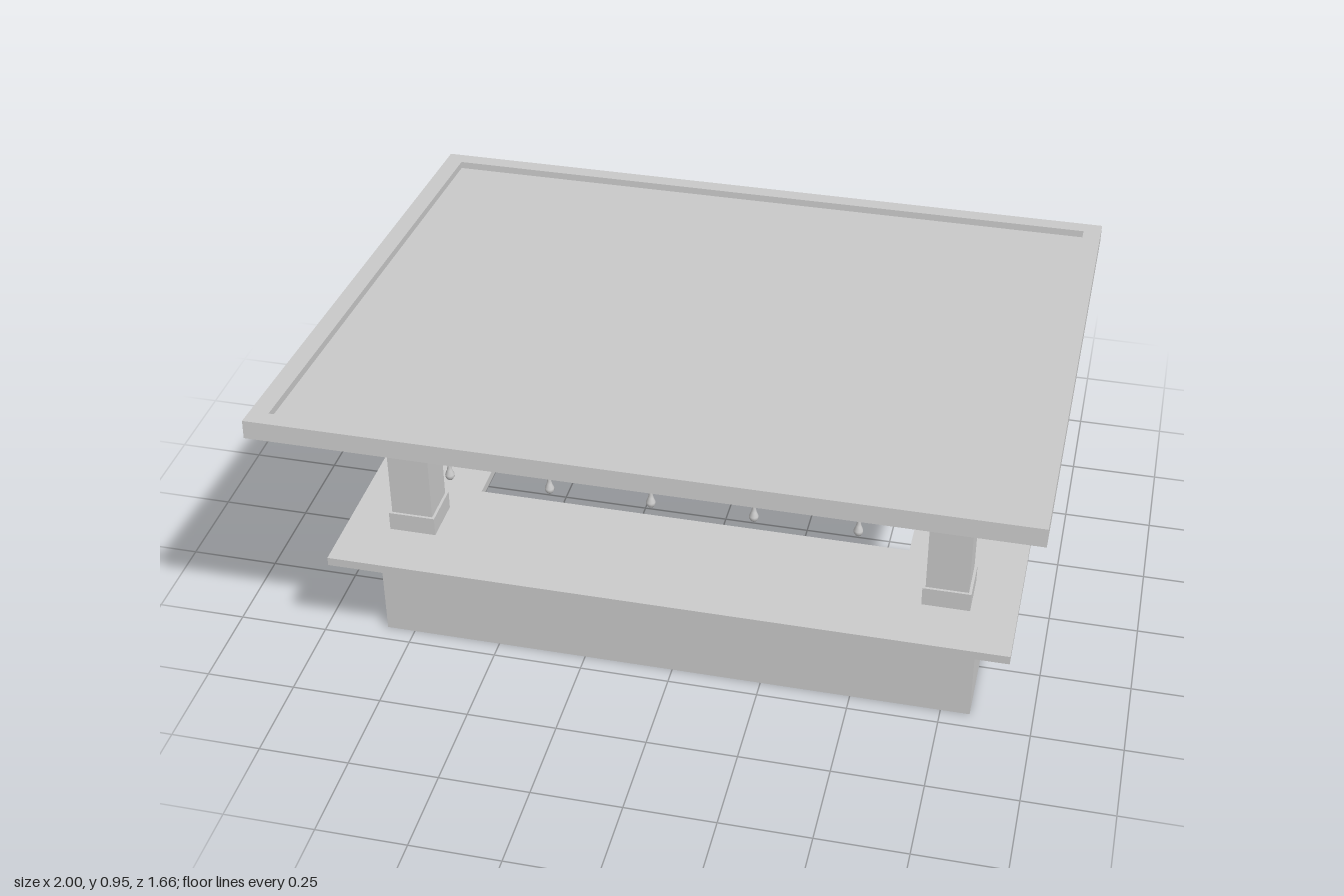
import * as THREE from 'three';

const grey = new THREE.MeshStandardMaterial({ color: 0xcccccc });

function add(parent, geometry, name, x = 0, y = 0, z = 0) {
  const mesh = new THREE.Mesh(geometry, grey);
  mesh.name = name;
  mesh.position.set(x, y, z);
  parent.add(mesh);
  return mesh;
}

// Box given by its extents on each axis
function box(parent, name, [x0, x1], [y0, y1], [z0, z1]) {
  return add(parent, new THREE.BoxGeometry(x1 - x0, y1 - y0, z1 - z0), name,
    (x0 + x1) / 2, (y0 + y1) / 2, (z0 + z1) / 2);
}

// Flat U-shaped slab: outer edge at z = front, arms reach back to z = end
function uSlab(parent, name, outerX, innerX, front, inner, end, y, height) {
  const points = [[-outerX, front], [outerX, front], [outerX, end], [innerX, end],
    [innerX, inner], [-innerX, inner], [-innerX, end], [-outerX, end]];
  const shape = new THREE.Shape(points.map(([x, z]) => new THREE.Vector2(x, -z)));
  const geometry = new THREE.ExtrudeGeometry(shape, { depth: height, bevelEnabled: false });
  geometry.rotateX(-Math.PI / 2);
  return add(parent, geometry, name, 0, y, 0);
}

// U-shaped counter, outer face at z = 0, shelves open to the inside
function counter(name, topFront, topInner) {
  const g = new THREE.Group();
  g.name = name;
  const t = 0.015;
  uSlab(g, 'counterTop', 0.93, 0.61, topFront, topInner, -0.47, 0.31, 0.025);
  uSlab(g, 'counterFloor', 0.83, 0.66, 0, -0.18, -0.42, 0, 0.02);
  uSlab(g, 'counterShelf', 0.815, 0.67, -t, -0.17, -0.405, 0.15, 0.012);
  uSlab(g, 'counterUpperRail', 0.83, 0.66, 0, -0.18, -0.42, 0.295, 0.015);
  box(g, 'outerPanel', [-0.83, 0.83], [0.02, 0.295], [-t, 0]);
  for (const s of [-1, 1]) {
    const side = box(g, 'sidePanel', [0.815, 0.83], [0.02, 0.295], [-0.42, -t]);
    side.position.x *= s;
    const end = box(g, 'armEndPanel', [0.66, 0.815], [0.02, 0.295], [-0.42, -0.405]);
    end.position.x *= s;
  }
  // Cupboard with a door in the shelf run
  for (const x of [-0.48, -0.13]) {
    box(g, 'divider', [x - 0.007, x + 0.007], [0.02, 0.295], [-0.178, -t]);
  }
  box(g, 'counterDoor', [-0.475, -0.135], [0.022, 0.293], [-0.188, -0.175]);
  handle(g, -0.17, 0.17, -0.188, -1);
  return g;
}

// Small bar handle standing off a door
function handle(parent, x, y, z, dir) {
  const bar = new THREE.CylinderGeometry(0.004, 0.004, 0.05, 8);
  add(parent, bar, 'doorHandle', x, y, z + dir * 0.012);
  for (const d of [-0.018, 0.018]) {
    const post = add(parent, new THREE.CylinderGeometry(0.003, 0.003, 0.014, 8), 'handlePost', x, y + d, z + dir * 0.006);
    post.rotation.x = Math.PI / 2;
  }
}

// Square column with plinth and cap
function pillar(name, x, z, bottom, plinthTop, capBottom, top) {
  const g = new THREE.Group();
  g.name = name;
  g.position.set(x, 0, z);
  const part = (label, w, y0, y1) => box(g, label, [-w / 2, w / 2], [y0, y1], [-w / 2, w / 2]);
  part('pillarPlinth', 0.13, bottom, plinthTop);
  part('pillarShaft', 0.115, plinthTop, capBottom);
  part('pillarCap', 0.143, capBottom, top);
  return g;
}

// Sloping roof with a raised rim around a sunken panel
function roof() {
  const g = new THREE.Group();
  g.name = 'roof';
  const rect = (P, w, d) => new P([[-w, -d], [w, -d], [w, d], [-w, d]].map(([x, y]) => new THREE.Vector2(x, y)));
  const rim = rect(THREE.Shape, 1, 0.83);
  rim.holes.push(rect(THREE.Path, 0.95, 0.78));
  const geometry = new THREE.ExtrudeGeometry(rim, { depth: 0.05, bevelEnabled: false });
  geometry.rotateX(-Math.PI / 2);
  add(g, geometry, 'roofRim', 0, -0.025, 0);
  box(g, 'roofPanel', [-0.95, 0.95], [-0.025, 0.005], [-0.78, 0.78]);
  // Shallow ceiling lamp
  const profile = [[0, -0.03], [0.03, -0.027], [0.058, -0.018], [0.078, -0.006], [0.088, 0]]
    .map(([x, y]) => new THREE.Vector2(x, y));
  add(g, new THREE.LatheGeometry(profile, 32), 'ceilingLamp', 0, -0.025, -0.205);
  g.position.y = 0.86;
  g.rotation.x = -0.078;
  return g;
}

// Hanging bar with a row of bulbs
function lightBar() {
  const g = new THREE.Group();
  g.name = 'lightBar';
  g.position.z = 0.652;
  box(g, 'lampBeam', [-0.55, 0.55], [0.795, 0.825], [-0.015, 0.015]);
  const profile = [[0, 0.72], [0.007, 0.722], [0.012, 0.73], [0.012, 0.737], [0.007, 0.75], [0.005, 0.76], [0.005, 0.796]]
    .map(([x, y]) => new THREE.Vector2(x, y));
  for (let i = -2; i <= 2; i++) {
    add(g, new THREE.LatheGeometry(profile, 16), 'bulb', i * 0.265);
    if (i % 2 === 0) add(g, new THREE.CylinderGeometry(0.003, 0.003, 0.07, 8), 'hangingRod', i * 0.265, 0.857);
  }
  return g;
}

// Cabinet wall on the rear counter: open niche between two cupboards
function rearCabinet() {
  const g = new THREE.Group();
  g.name = 'rearCabinet';
  box(g, 'cabinetTop', [-0.83, 0.83], [0.55, 0.565], [-0.81, -0.63]);
  box(g, 'cabinetBack', [-0.83, 0.83], [0.335, 0.55], [-0.81, -0.795]);
  for (const s of [-1, 1]) {
    const body = box(g, 'sideCupboard', [0.66, 0.83], [0.335, 0.55], [-0.795, -0.63]);
    body.position.x *= s;
    const door = box(g, 'cupboardDoor', [0.67, 0.82], [0.342, 0.545], [-0.63, -0.618]);
    door.position.x *= s;
    handle(g, s * 0.685, 0.45, -0.618, 1);
  }
  // Small tap in the niche
  add(g, new THREE.CylinderGeometry(0.003, 0.008, 0.06, 12), 'tap', -0.52, 0.365, -0.71);
  return g;
}

export function createModel() {
  const model = new THREE.Group();
  model.name = 'barPavilion';

  const front = counter('frontCounter', 0.13, -0.25);
  front.position.z = 0.45;
  const rear = counter('rearCounter', 0, -0.22);
  rear.rotation.y = Math.PI;
  rear.position.z = -0.81;
  model.add(front, rear, rearCabinet(), roof(), lightBar());

  for (const s of [-1, 1]) {
    model.add(pillar('frontPillar', s * 0.74, 0.355, 0.335, 0.39, 0.82, 0.87));
    model.add(pillar('rearPillar', s * 0.745, -0.715, 0.565, 0.6, 0.765, 0.79));
  }
  return model;
}
